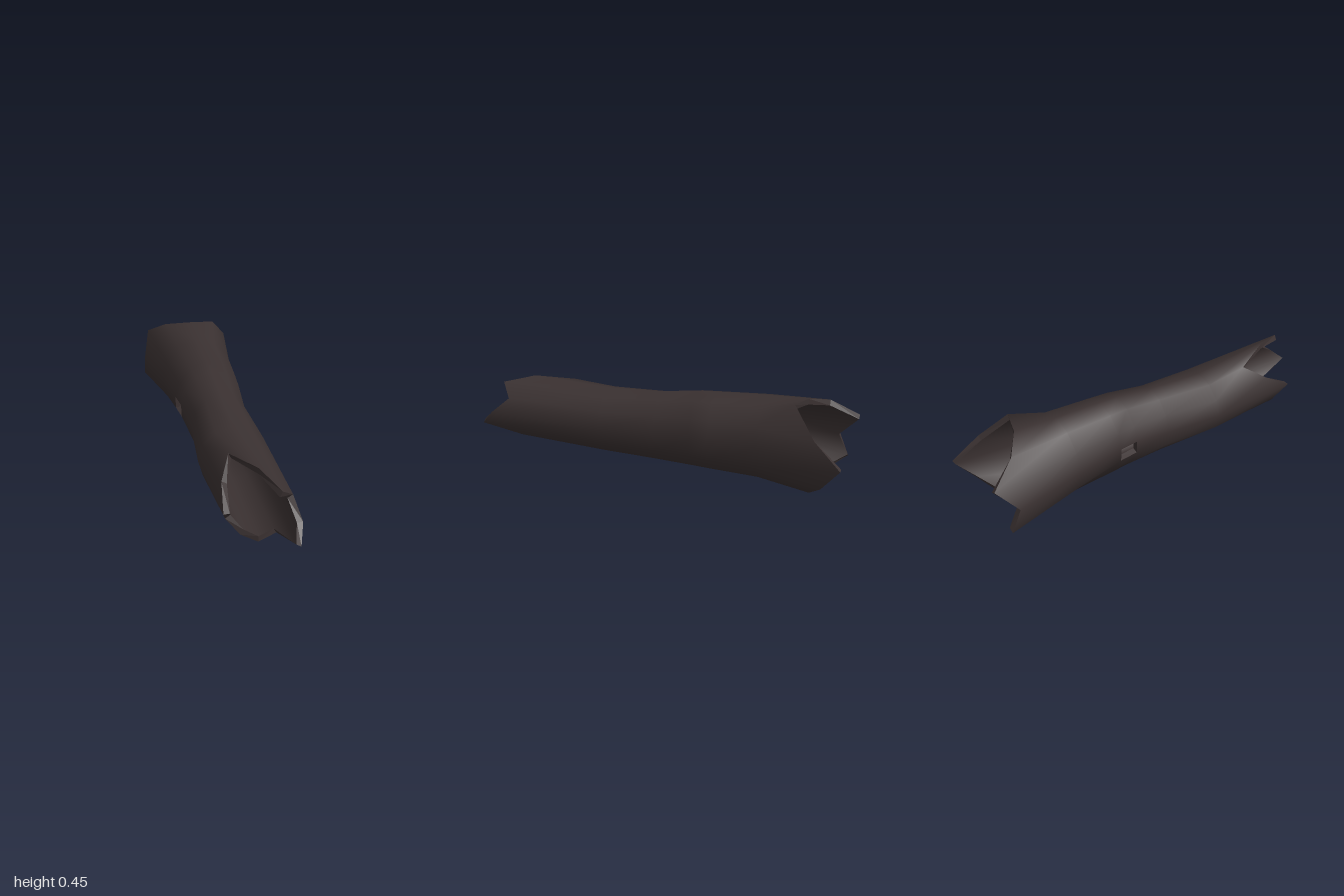
import * as THREE from 'three';

const SIDES = 12, WALL = 0.03;
const bark = new THREE.MeshStandardMaterial({ color: 0x3a3131 });
bark.name = 'dark bark';

// Broken ends: [x, y, z] every 30 degrees, starting at +x and turning towards +y
const frontEnd = [
  [0.075, 0.2, 0.93], [0.06, 0.285, 0.83], [-0.01, 0.35, 0.89], [-0.07, 0.385, 0.73],
  [-0.155, 0.36, 0.53], [-0.22, 0.285, 0.64], [-0.25, 0.2, 0.78], [-0.22, 0.12, 0.7],
  [-0.165, 0.06, 0.76], [-0.09, 0.033, 0.8], [0, 0.06, 0.79], [0.045, 0.12, 1],
];
const backEnd = [
  [0.255, 0.2, -0.985], [0.215, 0.32, -0.85], [0.115, 0.457, -0.73], [-0.01, 0.45, -0.77],
  [-0.13, 0.415, -0.86], [-0.205, 0.325, -1], [-0.25, 0.2, -0.9], [-0.246, 0.08, -0.95],
  [-0.13, 0.008, -0.82], [-0.01, 0.002, -0.8], [0.12, 0.01, -0.82], [0.215, 0.08, -0.89],
];
// Trunk sections: z, centre x, centre y, radius x, radius y
const sections = [
  [0.3, -0.065, 0.194, 0.177, 0.172],
  [0, -0.047, 0.2, 0.152, 0.187],
  [-0.2, -0.035, 0.215, 0.17, 0.203],
  [-0.3, -0.032, 0.217, 0.18, 0.207],
  [-0.55, -0.025, 0.223, 0.2, 0.216],
];
const HOLE_RING = 3, HOLE_SIDE = 6; // the knot hole replaces this quad

function sectionRing([z, cx, cy, rx, ry], index) {
  return Array.from({ length: SIDES }, (_, i) => {
    let deg = i * 30;
    // Pinch the sides together around the knot hole
    if (index === 2 || index === 3) deg = i === 6 ? 173 : i === 7 ? 193 : deg;
    const a = THREE.MathUtils.degToRad(deg);
    return [cx + rx * Math.cos(a), cy + ry * Math.sin(a), z];
  });
}

// Move a ring inwards by the wall thickness
function inset(ring) {
  const cx = ring.reduce((s, p) => s + p[0], 0) / SIDES;
  const cy = ring.reduce((s, p) => s + p[1], 0) / SIDES;
  return ring.map(([x, y, z]) => {
    const k = 1 - WALL / Math.hypot(x - cx, y - cy);
    return [cx + (x - cx) * k, cy + (y - cy) * k, z];
  });
}

// Smooth skin over the rings, leaving the knot hole open
function skin(rings, outward) {
  const index = [];
  for (let r = 0; r < rings.length - 1; r++) {
    for (let i = 0; i < SIDES; i++) {
      if (r === HOLE_RING && i === HOLE_SIDE) continue;
      const j = (i + 1) % SIDES;
      const a = r * SIDES + i, b = r * SIDES + j, c = b + SIDES, d = a + SIDES;
      index.push(...(outward ? [a, d, c, a, c, b] : [a, c, d, a, b, c]));
    }
  }
  const geo = new THREE.BufferGeometry();
  geo.setAttribute('position', new THREE.Float32BufferAttribute(rings.flat(2), 3));
  geo.setIndex(index);
  geo.computeVertexNormals();
  return geo;
}

// Flat faceted strip joining an outer loop to an inner loop
function rim(outer, inner, flip) {
  const pos = [];
  outer.forEach((a, i) => {
    const j = (i + 1) % outer.length, b = outer[j], A = inner[i], B = inner[j];
    pos.push(...(flip ? [a, A, B, a, B, b] : [a, b, B, a, B, A]).flat());
  });
  const geo = new THREE.BufferGeometry();
  geo.setAttribute('position', new THREE.Float32BufferAttribute(pos, 3));
  geo.computeVertexNormals();
  return geo;
}

export function createModel() {
  const group = new THREE.Group();
  group.name = 'hollowLog';
  const add = (name, geo) => {
    const mesh = new THREE.Mesh(geo, bark);
    mesh.name = name;
    group.add(mesh);
  };

  const outer = [frontEnd, ...sections.map(sectionRing), backEnd];
  const inner = outer.map(inset);
  const last = outer.length - 1;

  add('outerBark', skin(outer, true));
  add('innerHollow', skin(inner, false));
  add('frontBrokenRim', rim(outer[0], inner[0], false));
  add('backBrokenRim', rim(outer[last], inner[last], true));

  // Walls of the knot hole
  const corners = (rings) => [
    rings[HOLE_RING][HOLE_SIDE], rings[HOLE_RING][HOLE_SIDE + 1],
    rings[HOLE_RING + 1][HOLE_SIDE + 1], rings[HOLE_RING + 1][HOLE_SIDE],
  ];
  add('knotHoleRim', rim(corners(outer), corners(inner), true));
  return group;
}
